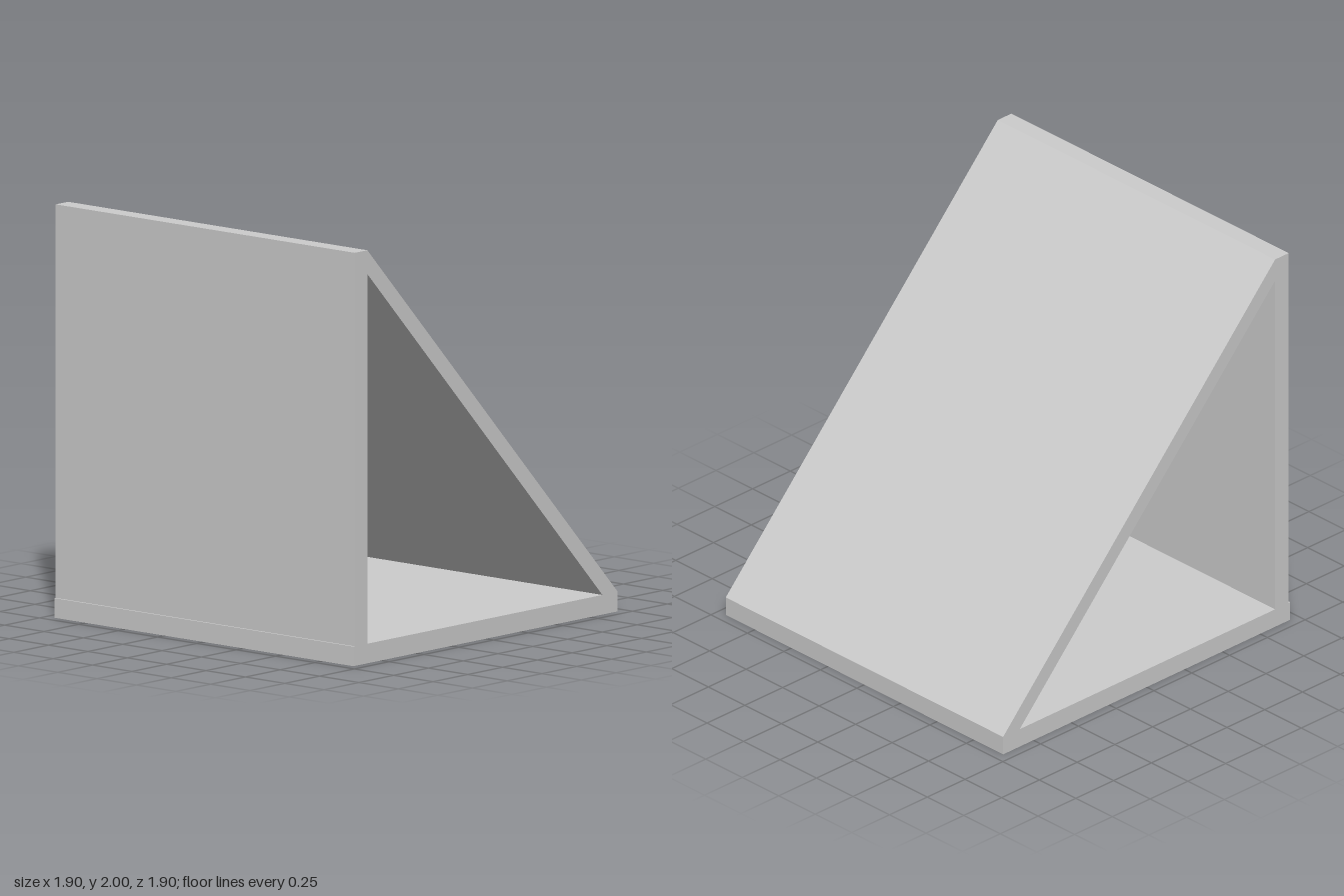
import * as THREE from 'three';

const WIDTH = 1.9;

// Turns [z, y] pairs into profile points; the profile's x axis becomes -z once rotated.
const toPoints = (pairs) => pairs.map(([z, y]) => new THREE.Vector2(-z, y));

export function createModel() {
  const group = new THREE.Group();
  group.name = 'triangularStand';

  // Side outline: base slab, upright front panel set slightly back, sloping panel
  const profile = new THREE.Shape(toPoints([
    [0.95, 0], [-0.95, 0], [-0.95, 0.095],
    [0.85, 2], [0.94, 2], [0.94, 0.095], [0.95, 0.095],
  ]));

  // Triangular opening running through the full width
  profile.holes.push(new THREE.Path(toPoints([
    [0.85, 0.095], [0.85, 1.885], [-0.84, 0.095],
  ])));

  const geometry = new THREE.ExtrudeGeometry(profile, { depth: WIDTH, bevelEnabled: false });
  geometry.translate(0, 0, -WIDTH / 2);
  geometry.rotateY(Math.PI / 2);

  const frame = new THREE.Mesh(
    geometry,
    new THREE.MeshStandardMaterial({ color: 0xcccccc, flatShading: true }),
  );
  frame.name = 'wedgeFrame';
  group.add(frame);

  return group;
}
